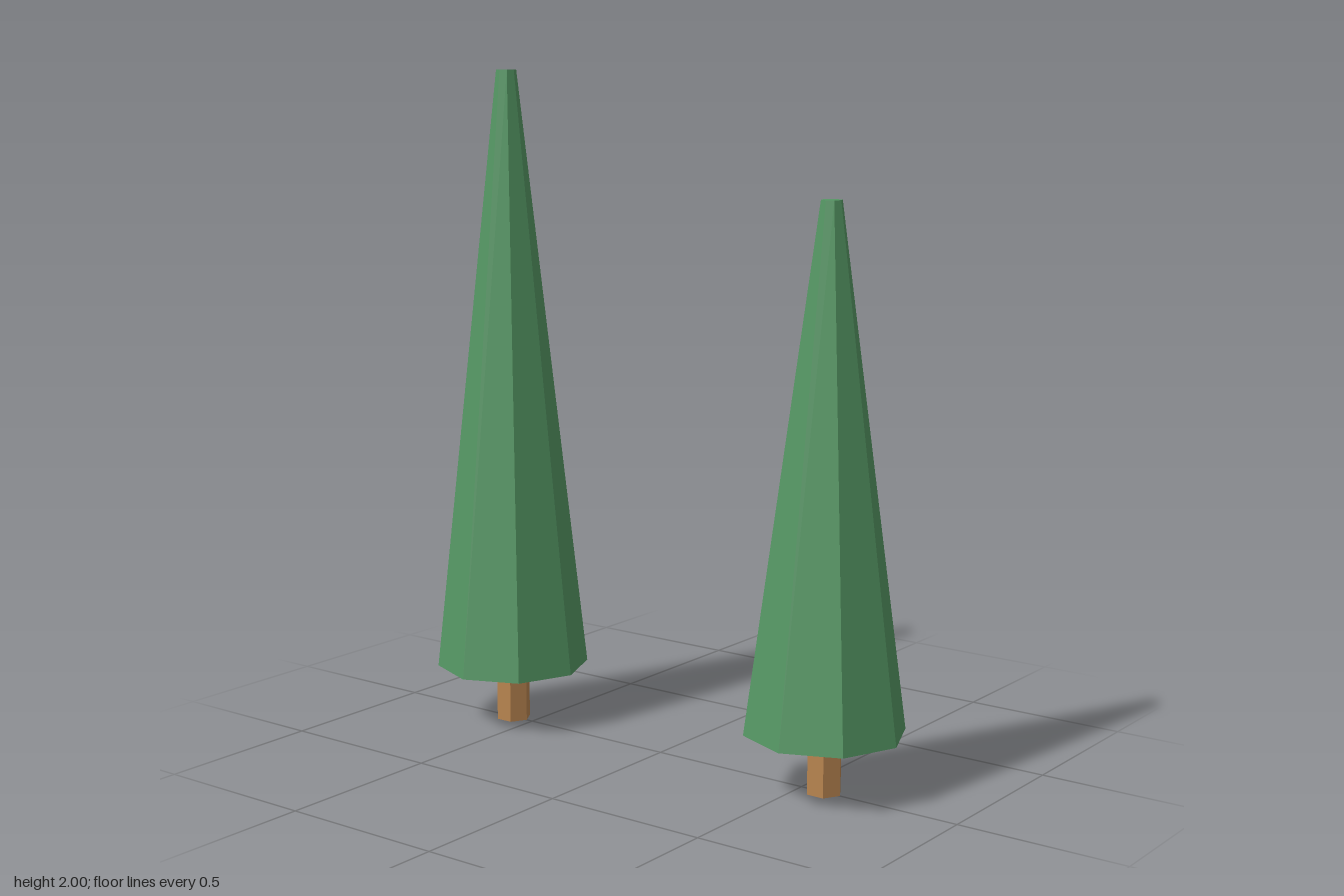
import * as THREE from 'three';

const foliageGreen = new THREE.MeshStandardMaterial({ name: 'foliageGreen', color: 0x559764, flatShading: true });
const trunkBrown = new THREE.MeshStandardMaterial({ name: 'trunkBrown', color: 0xb98550, flatShading: true });

// Tapered prism standing between two heights, with corners on the x axis
function prism(name, topRadius, bottomRadius, y0, y1, sides, material) {
  const geometry = new THREE.CylinderGeometry(topRadius, bottomRadius, y1 - y0, sides, 1, false, Math.PI / 2);
  geometry.translate(0, (y0 + y1) / 2, 0);
  const mesh = new THREE.Mesh(geometry, material);
  mesh.name = name;
  return mesh;
}

// Slim conifer: hexagonal trunk under an eight-sided blunt cone
function createTree(name, x, height) {
  const tree = new THREE.Group();
  tree.name = name;
  tree.add(
    prism('trunk', 0.053, 0.053, 0, 0.2, 6, trunkBrown),
    prism('foliage', 0.03, 0.232, 0.176, height, 8, foliageGreen)
  );
  tree.position.x = x;
  return tree;
}

export function createModel() {
  const model = new THREE.Group();
  model.name = 'coniferPair';
  model.add(createTree('tallTree', -0.575, 2), createTree('shortTree', 0.575, 1.66));
  return model;
}
